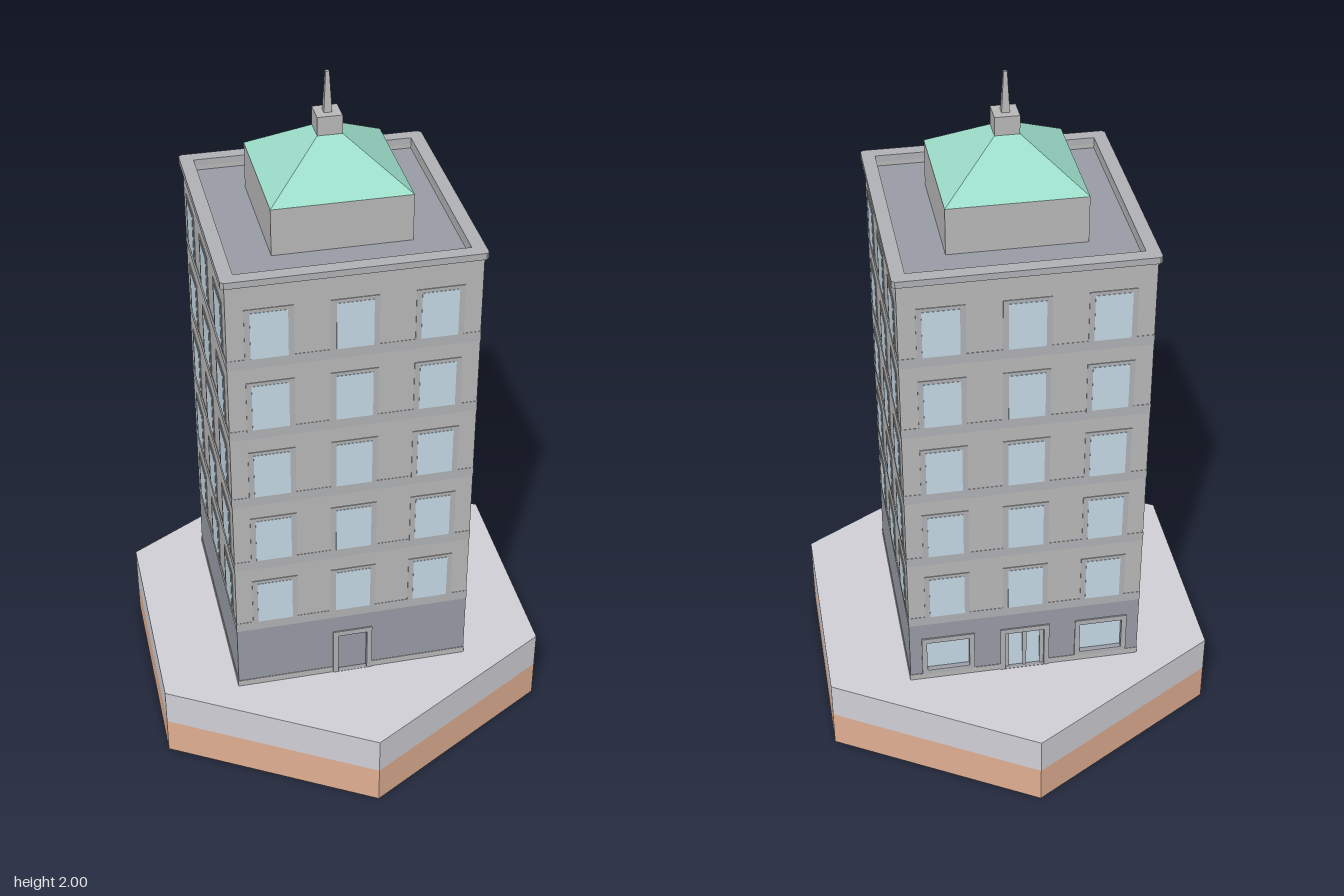
import * as THREE from 'three';

const mat = (color) => new THREE.MeshStandardMaterial({ color, flatShading: true });
const M = {
  stone: mat(0xb8b8b8), trim: mat(0xb0b1b4), paving: mat(0xcfced5), earth: mat(0xdfae91),
  slate: mat(0x989ba5), copper: mat(0x9cdcc8), glass: mat(0xc5d8e4),
};

function add(parent, name, geometry, material, x = 0, y = 0, z = 0) {
  const mesh = new THREE.Mesh(geometry, material);
  mesh.name = name;
  mesh.position.set(x, y, z);
  parent.add(mesh);
  return mesh;
}

// Box given by its half width, bottom and top, square in plan
function block(parent, name, half, y0, y1, material) {
  return add(parent, name, new THREE.BoxGeometry(half * 2, y1 - y0, half * 2), material, 0, (y0 + y1) / 2);
}

// Four-sided frustum with its faces square to the axes
function frustum(parent, name, topHalf, bottomHalf, y0, y1, material) {
  const g = new THREE.CylinderGeometry(topHalf * Math.SQRT2, bottomHalf * Math.SQRT2, y1 - y0, 4);
  return add(parent, name, g.rotateY(Math.PI / 4), material, 0, (y0 + y1) / 2);
}

function rect(x0, y0, x1, y1, Type = THREE.Shape) {
  return new Type([[x0, y0], [x1, y0], [x1, y1], [x0, y1]].map(([x, y]) => new THREE.Vector2(x, y)));
}

const extrude = (shape, depth) => new THREE.ExtrudeGeometry(shape, { depth, bevelEnabled: false });

// Horizontal square ring with cut corners
function ring(parent, name, half, hole, cut, y0, y1, material) {
  const a = half, b = half - cut;
  const pts = cut
    ? [[b, -a], [a, -b], [a, b], [b, a], [-b, a], [-a, b], [-a, -b], [-b, -a]]
    : [[a, -a], [a, a], [-a, a], [-a, -a]];
  const shape = new THREE.Shape(pts.map(([x, y]) => new THREE.Vector2(x, y)));
  shape.holes.push(rect(-hole, -hole, hole, hole, THREE.Path));
  add(parent, name, extrude(shape, y1 - y0).rotateX(-Math.PI / 2), material, 0, y0);
}

const HALF = 0.34, GROUND = 0.228, SLATE_TOP = 0.445, ROOF = 1.585, RECESS = 0.015;

// Ground-floor wall panel with framed, recessed openings
function groundWall(parent, name, openings) {
  const wall = new THREE.Group();
  wall.name = name;
  const face = rect(-HALF, GROUND, HALF, SLATE_TOP);
  for (const o of openings) {
    const [x0, x1] = [o.x - o.w / 2, o.x + o.w / 2];
    face.holes.push(rect(x0, o.y0, x1, o.y1, THREE.Path));
    const frame = rect(x0 - 0.015, Math.max(GROUND, o.y0 - 0.015), x1 + 0.015, o.y1 + 0.017);
    frame.holes.push(rect(x0, o.y0, x1, o.y1, THREE.Path));
    add(wall, o.name + 'Frame', extrude(frame, 0.004), M.trim, 0, 0, HALF);
    add(wall, o.name, new THREE.BoxGeometry(o.w, o.y1 - o.y0, 0.004), o.material,
      o.x, (o.y0 + o.y1) / 2, HALF - RECESS + 0.002);
    if (o.leaves) {
      // Stiles of the double door
      for (const s of [-1, 0, 1]) {
        add(wall, 'doorStile', new THREE.BoxGeometry(0.012, o.y1 - o.y0, 0.008), M.trim,
          o.x + s * (o.w / 2 - 0.006), (o.y0 + o.y1) / 2, HALF - RECESS + 0.005);
      }
    }
  }
  add(wall, 'groundFloorFacing', extrude(face, RECESS), M.slate, 0, 0, HALF - RECESS);
  parent.add(wall);
  return wall;
}

// Upper windows, their surrounds and the sill bands of one side
function upperFace() {
  const side = new THREE.Group();
  side.name = 'upperWindows';
  for (let row = 0; row < 5; row++) {
    const y = 0.54 + row * 0.226;
    add(side, 'sillBand', new THREE.BoxGeometry(HALF * 2, 0.03, 0.002), M.trim, 0, y - 0.085, HALF);
    for (let col = -1; col <= 1; col++) {
      const x = col * 0.227;
      add(side, 'windowSurround', new THREE.BoxGeometry(0.13, 0.156, 0.004), M.trim, x, y + 0.003, HALF);
      add(side, 'windowPane', new THREE.BoxGeometry(0.1, 0.14, 0.006), M.glass, x, y, HALF);
    }
  }
  return side;
}

export function createModel() {
  const model = new THREE.Group();
  model.name = 'tower';

  // Hexagonal plinth
  add(model, 'earthBase', new THREE.CylinderGeometry(0.653, 0.653, 0.115, 6), M.earth, 0, 0.0575);
  add(model, 'pavedBase', new THREE.CylinderGeometry(0.653, 0.653, 0.113, 6), M.paving, 0, 0.1715);

  const building = new THREE.Group();
  building.name = 'building';
  building.position.set(-0.009, 0, 0.002);
  model.add(building);

  // Ground floor: core with front and back facings
  add(building, 'groundFloor', new THREE.BoxGeometry(HALF * 2, SLATE_TOP - GROUND, (HALF - RECESS) * 2),
    M.slate, 0, (GROUND + SLATE_TOP) / 2);
  groundWall(building, 'frontWall', [
    { name: 'frontDoor', x: 0, w: 0.086, y0: GROUND + 0.001, y1: 0.368, material: M.slate },
  ]);
  groundWall(building, 'backWall', [
    { name: 'shopWindowLeft', x: 0.227, w: 0.125, y0: 0.262, y1: 0.368, material: M.glass },
    { name: 'backDoor', x: 0, w: 0.115, y0: GROUND + 0.001, y1: 0.368, material: M.glass, leaves: true },
    { name: 'shopWindowRight', x: -0.227, w: 0.125, y0: 0.262, y1: 0.368, material: M.glass },
  ]).rotation.y = Math.PI;

  // Skirting on the plain sides and beside the openings
  for (const s of [-1, 1]) {
    add(building, 'sideSkirting', new THREE.BoxGeometry(0.003, 0.02, HALF * 2), M.stone, s * HALF, GROUND + 0.01);
    for (const [z, gap] of [[HALF, 0.058], [-HALF, 0.0725]]) {
      add(building, 'endSkirting', new THREE.BoxGeometry(HALF - gap, 0.02, 0.003), M.stone,
        s * (HALF + gap) / 2, GROUND + 0.01, z);
    }
  }

  // Upper floors
  block(building, 'upperFloors', HALF, SLATE_TOP, ROOF - 0.002, M.stone);
  for (let i = 0; i < 4; i++) {
    const side = upperFace();
    side.rotation.y = i * Math.PI / 2;
    building.add(side);
  }

  // Roof, parapet and cornice
  block(building, 'roofDeck', 0.325, ROOF - 0.01, ROOF, M.slate);
  ring(building, 'parapet', HALF, 0.312, 0, ROOF - 0.002, 1.598, M.stone);
  ring(building, 'cornice', 0.35, 0.312, 0.008, 1.598, 1.617, M.trim);

  // Penthouse, copper roof and spire
  block(building, 'penthouse', 0.19, ROOF, 1.72, M.stone);
  frustum(building, 'copperRoof', 0.033, 0.19, 1.72, 1.835, M.copper);
  block(building, 'roofCap', 0.034, 1.83, 1.887, M.stone);
  frustum(building, 'spire', 0.005, 0.011, 1.887, 2, M.stone);

  return model;
}
